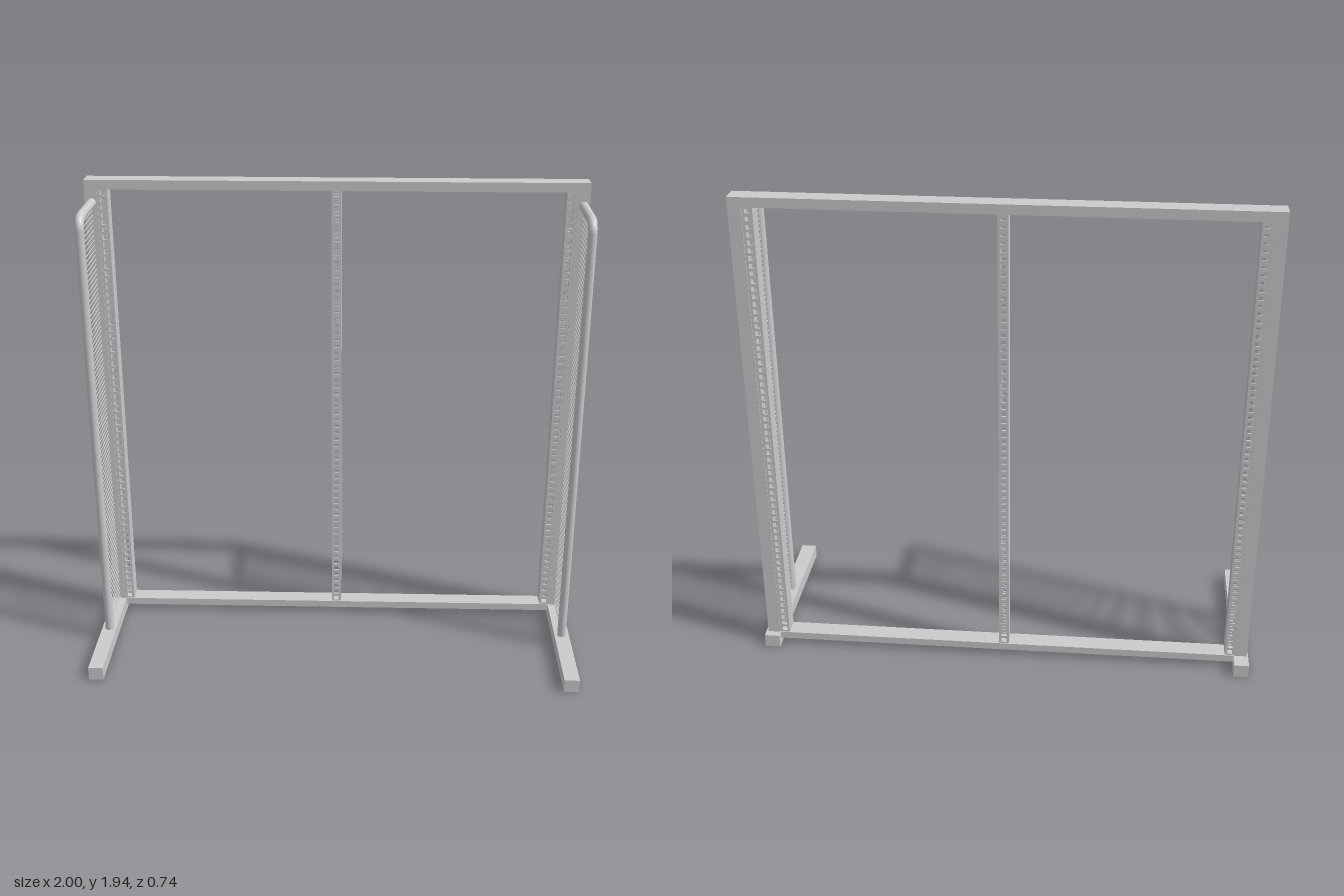
import * as THREE from 'three';

const grey = new THREE.MeshStandardMaterial({ color: 0xcccccc });

// Box given by its limits on each axis
function block(name, [x0, x1], [y0, y1], [z0, z1]) {
  const mesh = new THREE.Mesh(new THREE.BoxGeometry(x1 - x0, y1 - y0, z1 - z0), grey);
  mesh.position.set((x0 + x1) / 2, (y0 + y1) / 2, (z0 + z1) / 2);
  mesh.name = name;
  return mesh;
}

const FOOT_TOP = 0.055;
const POST_TOP = 1.902;
const BACK = -0.305;
const FRONT = -0.232;

// Upright hollow channel with a row of slots through its front and back
function slottedStrip(name, x0, x1) {
  const group = new THREE.Group();
  group.name = name;
  const wall = 0.004, count = 62;
  const y = [FOOT_TOP, POST_TOP];
  const pitch = (y[1] - y[0]) / count;
  const plate = new THREE.Shape();
  plate.moveTo(x0, y[0]).lineTo(x1, y[0]).lineTo(x1, y[1]).lineTo(x0, y[1]).closePath();
  const a = x0 + 0.01, b = x1 - 0.01;
  for (let i = 0; i < count; i++) {
    const bottom = y[0] + (i + 0.2) * pitch, top = bottom + pitch * 0.6;
    const slot = new THREE.Path();
    slot.moveTo(a, bottom).lineTo(a, top).lineTo(b, top).lineTo(b, bottom).closePath();
    plate.holes.push(slot);
  }
  const geometry = new THREE.ExtrudeGeometry(plate, { depth: wall, bevelEnabled: false });
  for (const z of [BACK + 0.004, FRONT - 0.004 - wall]) {
    const face = new THREE.Mesh(geometry, grey);
    face.name = 'slottedPlate';
    face.position.z = z;
    group.add(face);
  }
  const depth = [BACK + 0.008, FRONT - 0.008];
  group.add(block('stripSide', [x0, x0 + wall], y, depth));
  group.add(block('stripSide', [x1 - wall, x1], y, depth));
  return group;
}

// Round bar between two points
function bar(name, from, to, radius, sides) {
  const axis = to.clone().sub(from);
  const mesh = new THREE.Mesh(new THREE.CylinderGeometry(radius, radius, axis.length(), sides), grey);
  mesh.position.copy(from).add(to).multiplyScalar(0.5);
  mesh.quaternion.setFromUnitVectors(new THREE.Vector3(0, 1, 0), axis.normalize());
  mesh.name = name;
  return mesh;
}

// Bent tube with horizontal wires running back to the post
function sidePanel(name, x) {
  const group = new THREE.Group();
  group.name = name;
  const r = 0.018, bend = 0.045, z = 0.022, top = 1.849;
  const at = (y, zz) => new THREE.Vector3(x, y, zz);
  group.add(bar('hoopUpright', at(FOOT_TOP, z), at(top - bend, z), r, 20));
  group.add(bar('hoopTop', at(top, z - bend), at(top, FRONT), r, 20));
  const elbow = new THREE.Mesh(new THREE.TorusGeometry(bend, r, 20, 12, Math.PI / 2), grey);
  elbow.name = 'hoopBend';
  elbow.rotation.y = -Math.PI / 2;
  elbow.position.set(x, top - bend, z - bend);
  group.add(elbow);
  const count = 88;
  for (let i = 0; i < count; i++) {
    const y = 0.068 + (i * 1.75) / (count - 1);
    group.add(bar('wire', at(y, z), at(y, FRONT), 0.0022, 8));
  }
  return group;
}

export function createModel() {
  const model = new THREE.Group();
  model.name = 'displayFrame';

  // Feet, slightly staggered front to back
  model.add(block('rightFoot', [-1, -0.94], [0, FOOT_TOP], [-0.37, 0.335]));
  model.add(block('leftFoot', [0.938, 1], [0, FOOT_TOP], [-0.335, 0.367]));

  // Main frame
  const z = [BACK, FRONT];
  model.add(block('rightPost', [-0.995, -0.945], [FOOT_TOP, POST_TOP], z));
  model.add(block('leftPost', [0.941, 0.991], [FOOT_TOP, POST_TOP], z));
  model.add(block('topBeam', [-0.995, 0.991], [POST_TOP, 1.94], z));
  model.add(block('bottomBeam', [-0.94, 0.938], [0.025, FOOT_TOP], z));

  // Slotted strips beside the posts and in the middle
  model.add(slottedStrip('rightStrip', -0.945, -0.905));
  model.add(slottedStrip('centreStrip', -0.02, 0.02));
  model.add(slottedStrip('leftStrip', 0.901, 0.941));

  // Wire side panels
  model.add(sidePanel('rightPanel', -0.968));
  model.add(sidePanel('leftPanel', 0.968));

  return model;
}
